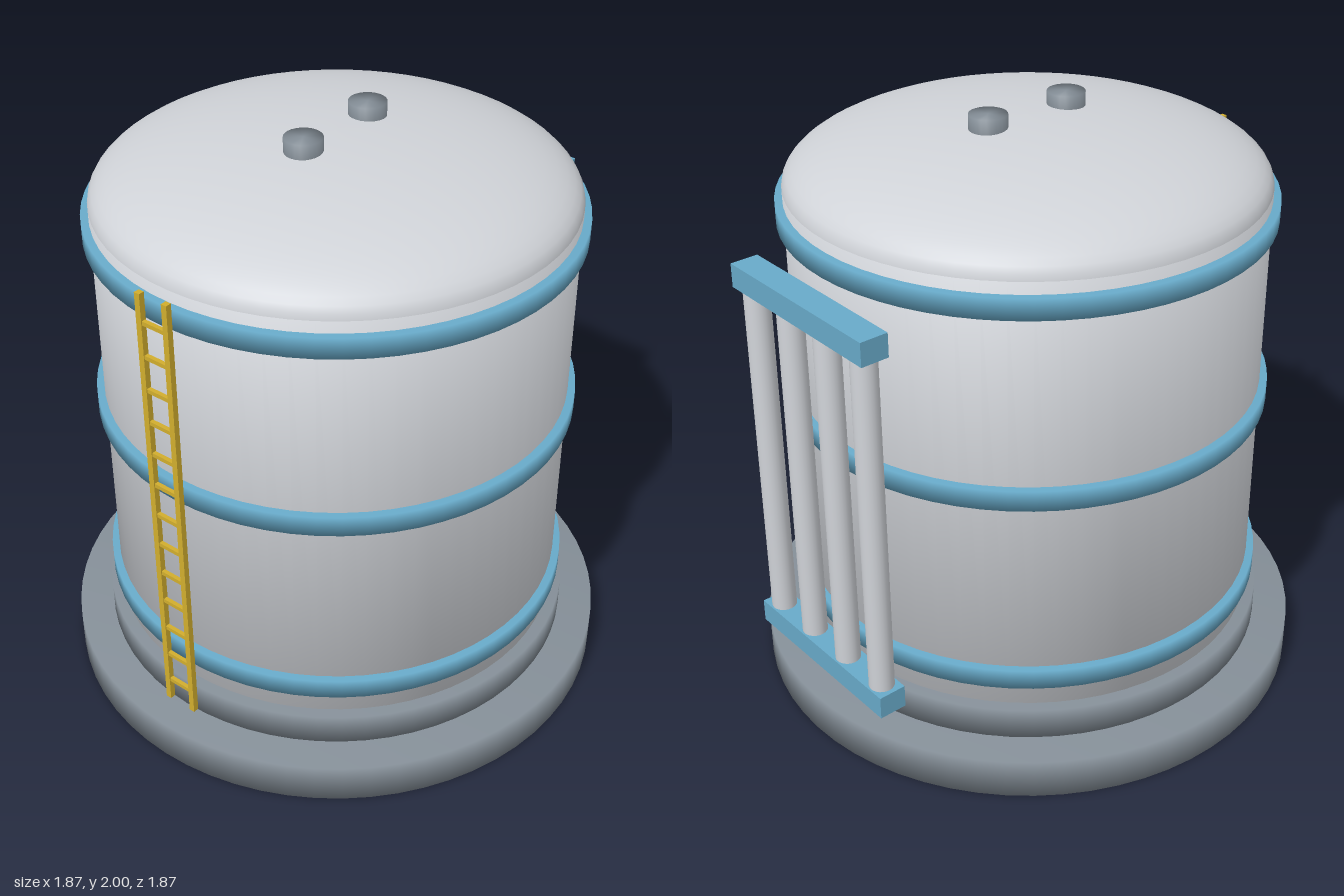
import * as THREE from 'three';

const material = (name, color) => {
  const m = new THREE.MeshStandardMaterial({ color });
  m.name = name;
  return m;
};

export function createModel() {
  const model = new THREE.Group();
  model.name = 'storageTank';

  const shell = material('light grey shell', 0xd0d3d8);
  const concrete = material('slate grey', 0x858f98);
  const blue = material('steel blue', 0x68aac9);
  const yellow = material('safety yellow', 0xd2ae2e);

  const add = (parent, name, geometry, mat, x = 0, y = 0, z = 0) => {
    const mesh = new THREE.Mesh(geometry, mat);
    mesh.name = name;
    mesh.position.set(x, y, z);
    parent.add(mesh);
    return mesh;
  };

  // Closed drum standing on y = 0, with softly shaded rims
  const drum = (r, h, segments = 64) => new THREE.LatheGeometry([
    new THREE.Vector2(0, 0), new THREE.Vector2(r, 0),
    new THREE.Vector2(r, h), new THREE.Vector2(0, h),
  ], segments);

  // Stepped foundation and tank wall
  add(model, 'base', drum(0.937, 0.14), concrete);
  add(model, 'plinth', drum(0.817, 0.11), concrete, 0, 0.14);
  add(model, 'tankWall', drum(0.778, 1.51), shell, 0, 0.25);

  // Shallow elliptical roof
  const roof = [];
  for (let i = 0; i <= 16; i++) {
    const a = (i / 16) * Math.PI / 2;
    roof.push(new THREE.Vector2(i === 16 ? 0 : 0.778 * Math.cos(a), 0.2 * Math.sin(a)));
  }
  add(model, 'roof', new THREE.LatheGeometry(roof, 64), shell, 0, 1.76);

  // Hoops around the wall
  for (const y of [0.33, 1.01, 1.65]) add(model, 'hoop', drum(0.803, 0.07), blue, 0, y);

  // Roof vents
  for (const x of [-0.16, 0.16]) add(model, 'vent', drum(0.062, 0.12, 24), concrete, x, 1.88);

  // Pipe rack on the left side
  const rack = new THREE.Group();
  rack.name = 'pipeRack';
  rack.position.x = 0.858;
  model.add(rack);
  for (const y of [0.285, 1.565]) {
    add(rack, 'header', new THREE.BoxGeometry(0.096, 0.08, 0.674), blue, 0, y);
  }
  for (const z of [-0.28, -0.095, 0.095, 0.28]) {
    add(rack, 'pipe', drum(0.042, 1.24, 24), shell, 0, 0.305, z);
  }

  // Ladder on the right side
  const ladder = new THREE.Group();
  ladder.name = 'ladder';
  ladder.position.x = -0.84;
  model.add(ladder);
  for (const z of [-0.052, 0.052]) {
    add(ladder, 'ladderRail', new THREE.BoxGeometry(0.02, 1.6, 0.02), yellow, 0, 0.965, z);
  }
  for (let i = 0; i < 13; i++) {
    add(ladder, 'rung', new THREE.BoxGeometry(0.014, 0.014, 0.104), yellow, 0, 0.25 + i * 0.118, 0);
  }

  return model;
}
